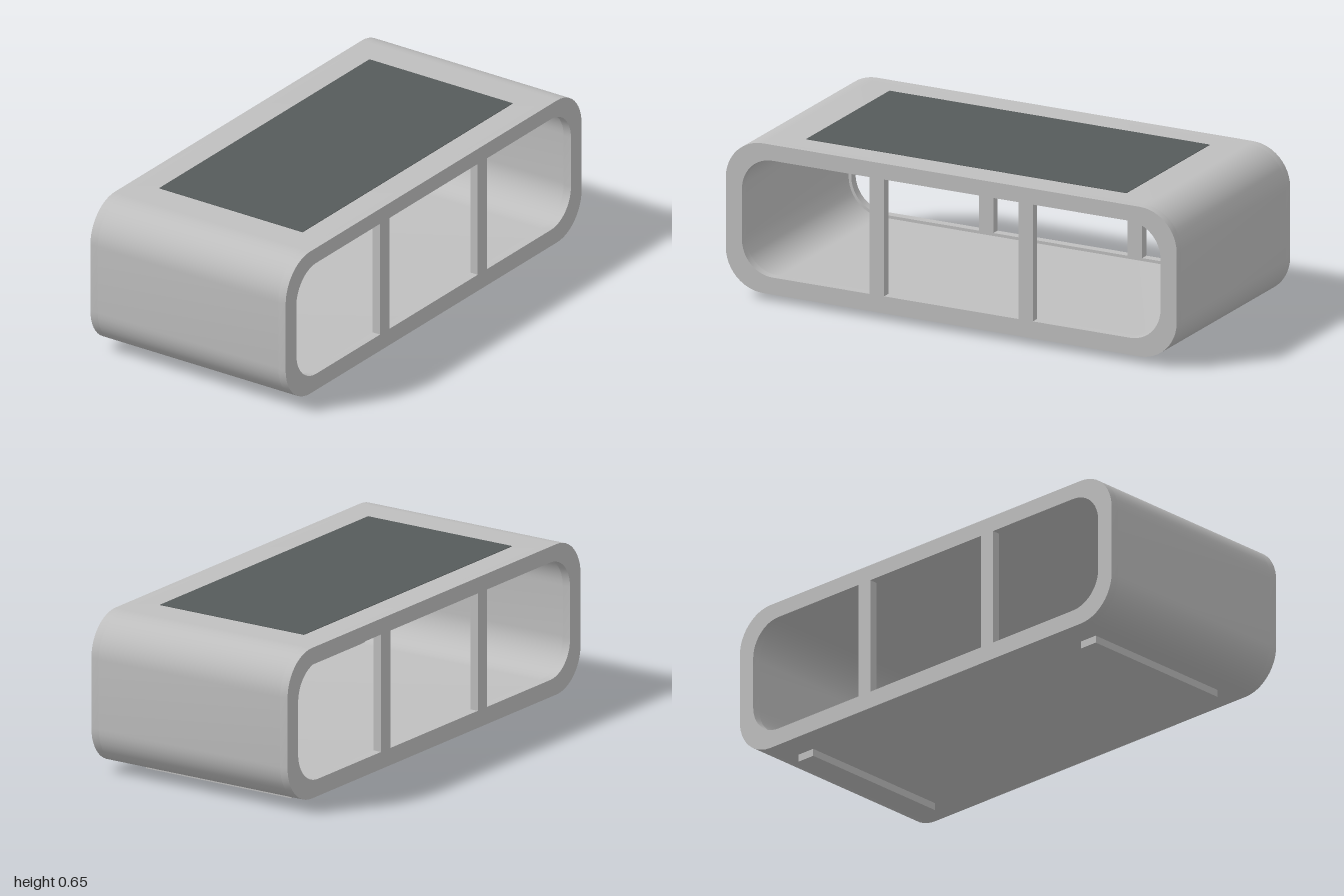
import * as THREE from 'three';
import { toCreasedNormals } from 'three/addons/utils/BufferGeometryUtils.js';

const HALF_DEPTH = 0.467, LIP = 0.035;

// Rounded rectangle outline, counter-clockwise
function roundedRect(path, x0, y0, x1, y1, r) {
  path.moveTo(x0 + r, y0);
  path.lineTo(x1 - r, y0);
  path.absarc(x1 - r, y0 + r, r, -Math.PI / 2, 0);
  path.lineTo(x1, y1 - r);
  path.absarc(x1 - r, y1 - r, r, 0, Math.PI / 2);
  path.lineTo(x0 + r, y1);
  path.absarc(x0 + r, y1 - r, r, Math.PI / 2, Math.PI);
  path.lineTo(x0, y0 + r);
  path.absarc(x0 + r, y0 + r, r, Math.PI, Math.PI * 1.5);
  return path;
}

// Rounded tube section whose opening is enlarged by "grow", centred on z
function ring(grow, depth, z) {
  const shape = roundedRect(new THREE.Shape(), -1, 0.03, 1, 0.645, 0.165);
  shape.holes.push(roundedRect(new THREE.Path(),
    -0.928 - grow, 0.1 - grow, 0.928 + grow, 0.58 + grow, 0.135 + grow));
  const geometry = new THREE.ExtrudeGeometry(shape, { depth, bevelEnabled: false, curveSegments: 6 });
  geometry.translate(0, 0, z - depth / 2);
  return toCreasedNormals(geometry, 0.6);
}

export function createModel() {
  const model = new THREE.Group();
  model.name = 'lowTable';
  const body = new THREE.MeshStandardMaterial({ color: 0xbfbfbf });
  body.name = 'light grey';
  const inlay = new THREE.MeshStandardMaterial({ color: 0x565b5b });
  inlay.name = 'dark grey';

  function add(name, geometry, material, x = 0, y = 0, z = 0) {
    const mesh = new THREE.Mesh(geometry, material);
    mesh.name = name;
    mesh.position.set(x, y, z);
    model.add(mesh);
  }

  // Hollow shell, open front and back
  add('shell', ring(0.012, 2 * (HALF_DEPTH - LIP), 0), body);

  // Slightly narrower rims with two thin dividers at each end
  for (const [end, side] of [['front', 1], ['back', -1]]) {
    const z = side * (HALF_DEPTH - LIP / 2);
    add(end + 'Rim', ring(0, LIP, z), body);
    for (const x of [-0.33, 0.33]) {
      add(end + 'Divider', new THREE.BoxGeometry(0.064, 0.48, LIP), body, x, 0.34, z);
    }
  }

  // Dark inlaid panel on the top
  add('topPanel', new THREE.BoxGeometry(1.42, 0.004, 0.685), inlay, 0, 0.645, 0);

  // Runner feet
  for (const x of [-0.76, 0.76]) {
    add('runnerFoot', new THREE.BoxGeometry(0.08, 0.03, 0.692), body, x, 0.015, 0);
  }
  return model;
}
